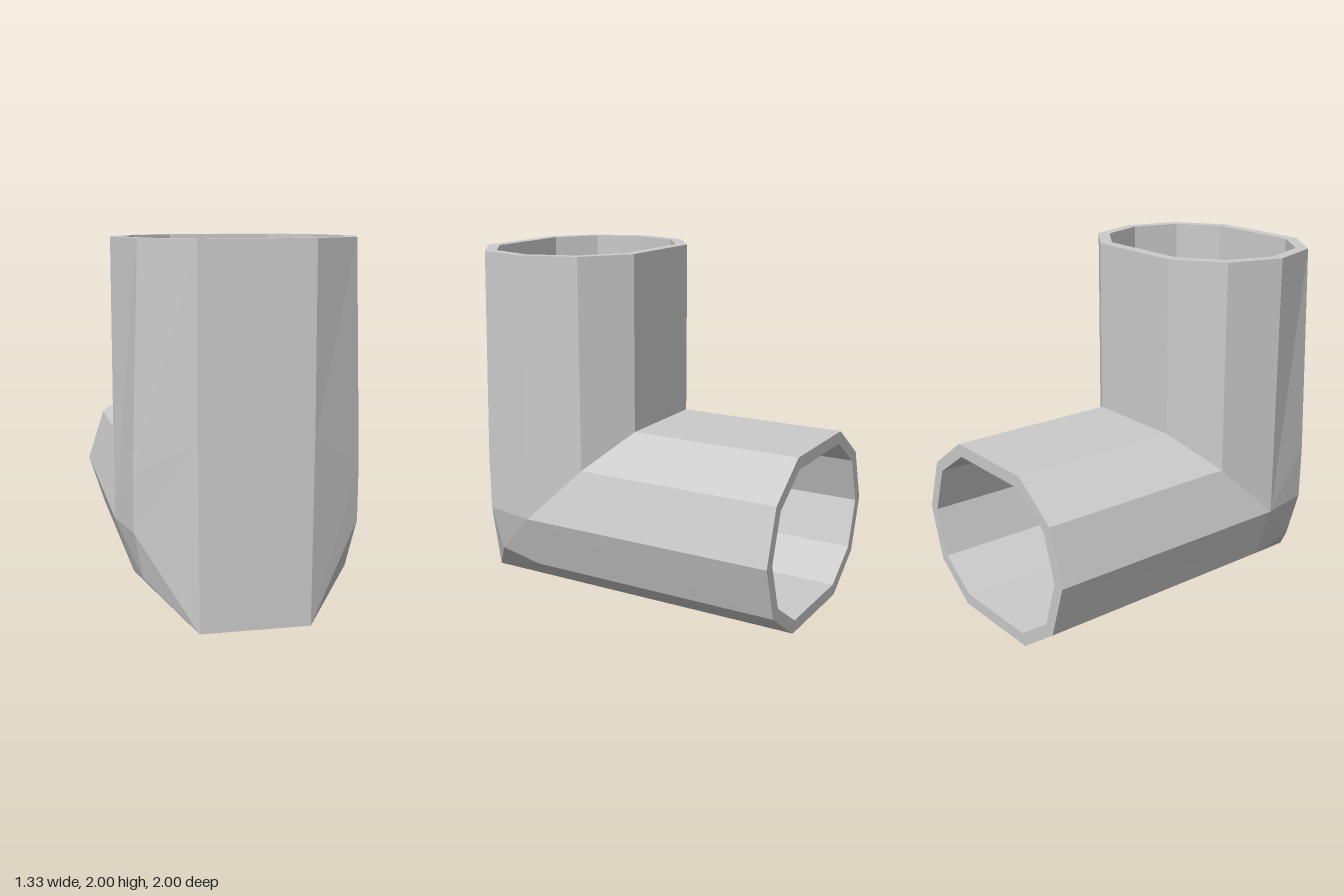
import * as THREE from 'three';

const material = new THREE.MeshStandardMaterial({ color: 0xcccccc, flatShading: true });

// Ten-sided ring from the five points of its +x half (inside of the bend to outside)
const ring = (half) => [...half, ...half.map(([x, y, z]) => [-x, y, z]).reverse()]
  .map((p) => new THREE.Vector3(...p));

// Skin a sequence of rings, leaving out collapsed triangles
function loft(name, rings) {
  const points = [];
  const triangle = (a, b, c) => {
    const area = b.clone().sub(a).cross(c.clone().sub(a)).length();
    if (area > 1e-6) points.push(a, b, c);
  };
  for (let r = 0; r < rings.length - 1; r++) {
    const a = rings[r], b = rings[r + 1];
    for (let i = 0; i < a.length; i++) {
      const j = (i + 1) % a.length;
      triangle(a[i], a[j], b[j]);
      triangle(a[i], b[j], b[i]);
    }
  }
  const geometry = new THREE.BufferGeometry().setFromPoints(points);
  geometry.computeVertexNormals();
  const mesh = new THREE.Mesh(geometry, material);
  mesh.name = name;
  return mesh;
}

export function createModel() {
  const model = new THREE.Group();
  model.name = 'pipeElbow';

  // Cross-sections as [x, depth]; depth is z in the upright leg and 1 - y in the level leg
  const outer = [[0.30, 0], [0.565, 0.19], [0.665, 0.5], [0.567, 0.81], [0.30, 1]];
  const inner = [[0.28, 0.07], [0.51, 0.23], [0.598, 0.5], [0.51, 0.77], [0.28, 0.93]];
  const top = (s) => ring(s.map(([x, d]) => [x, 2, d]));
  const mitre = (s) => ring(s.map(([x, d]) => [x, 1 - d, d]));
  const rear = (s) => ring(s.map(([x, d]) => [x, 1 - d, -1]));

  // Bend: the inside corner is a plain mitre, the outside corner is chamfered
  const inside = [[0.30, 1, 0], [0.565, 0.81, 0.19], [0.665, 0.5, 0.5]];
  const heel = [0.295, 0, 1];
  const bend = [
    ring([...inside, [0.603, 0.81, 0.81], [0.303, 1, 1]]),
    ring([...inside, [0.603, 0.5, 0.805], heel]),
    ring([...inside, [0.55, 0.237, 0.77], heel]),
    ring([...inside, [0.565, 0.193, 0.5], heel]),
  ];

  model.add(
    loft('outerWall', [top(outer), ...bend, rear(outer)]),
    loft('rearRim', [rear(outer), rear(inner)]),
    loft('innerWall', [rear(inner), mitre(inner), top(inner)]),
    loft('topRim', [top(inner), top(outer)]),
  );
  return model;
}
